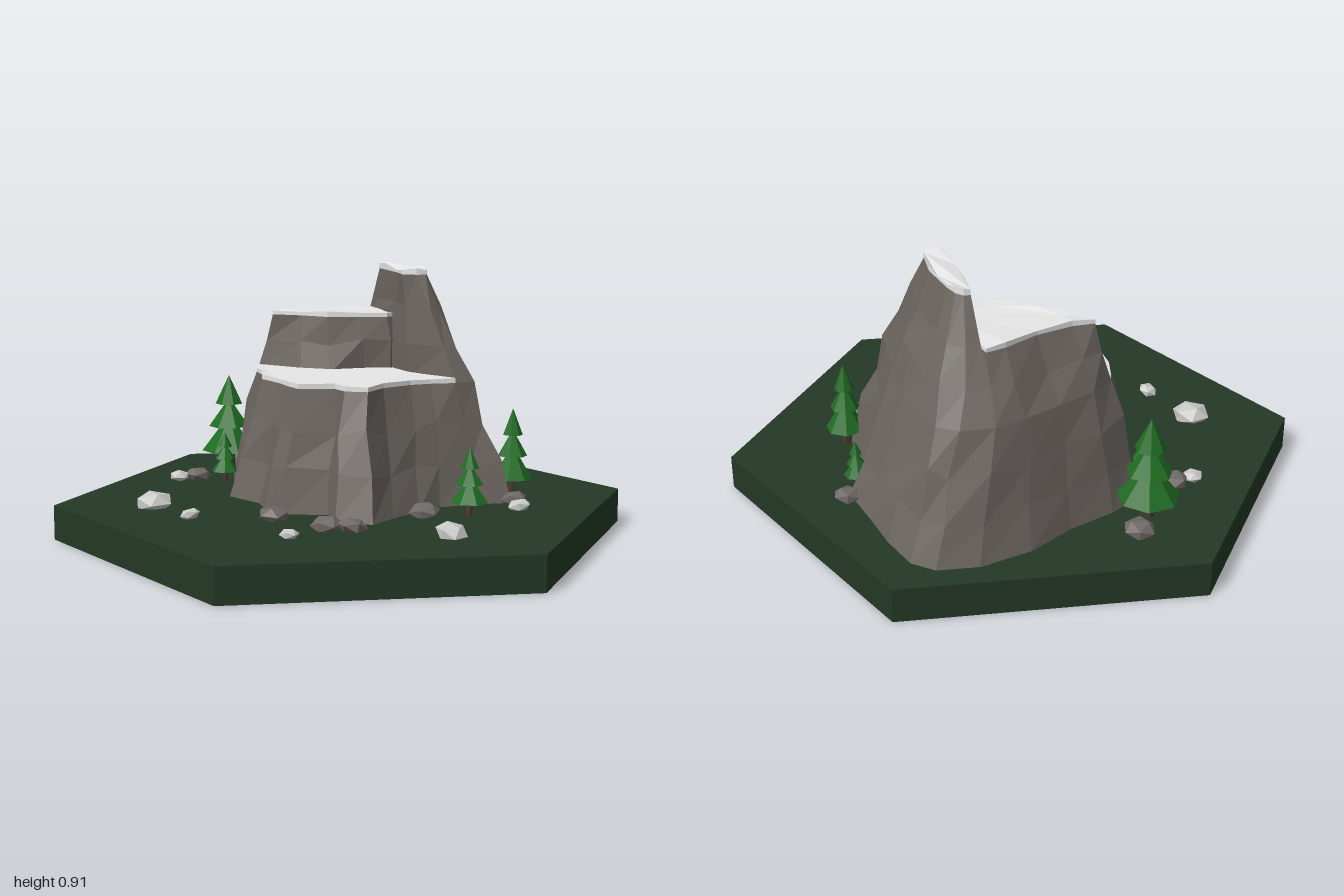
import * as THREE from 'three';

const mat = (name, color, flatShading = true) => {
  const m = new THREE.MeshStandardMaterial({ color, flatShading });
  m.name = name;
  return m;
};

export function createModel() {
  const model = new THREE.Group();
  model.name = 'mountainTile';
  const grass = mat('darkGrass', 0x243826);
  const stone = mat('mountainStone', 0x6b645f);
  const snow = mat('snow', 0xf2f2f2);
  const needles = mat('needles', 0x1f6b22);
  const bark = mat('bark', 0x4a3a2c);
  const boulder = mat('boulder', 0x6f6966);
  const paleStone = mat('paleStone', 0xcacac8);

  let seed = 7;
  const rand = () => (seed = (seed * 16807) % 2147483647) / 2147483647;

  const add = (parent, name, geo, material, x = 0, y = 0, z = 0) => {
    const m = new THREE.Mesh(geo, material);
    m.name = name;
    m.position.set(x, y, z);
    parent.add(m);
    return m;
  };

  // Wall between two outlines of [x, z] points, with rough rings in between
  const cliff = (name, low, high, y0, y1, steps) => {
    const n = low.length, pos = [], idx = [];
    for (let s = 0; s <= steps; s++) {
      const t = s / steps, inner = s > 0 && s < steps;
      for (let i = 0; i < n; i++) {
        const j = () => (inner ? (rand() - 0.5) * 0.022 : 0);
        pos.push(
          THREE.MathUtils.lerp(low[i][0], high[i][0], t) + j(),
          THREE.MathUtils.lerp(y0, y1, t) + j() * 2,
          THREE.MathUtils.lerp(low[i][1], high[i][1], t) + j());
      }
    }
    for (let s = 0; s < steps; s++) for (let i = 0; i < n; i++) {
      const a = s * n + i, b = s * n + (i + 1) % n;
      idx.push(a, b, b + n, a, b + n, a + n);
    }
    const geo = new THREE.BufferGeometry();
    geo.setAttribute('position', new THREE.Float32BufferAttribute(pos, 3));
    geo.setIndex(idx);
    geo.computeVertexNormals();
    add(model, name, geo, stone);
  };

  // Thin snow sheet over an outline, with a slightly uneven top
  const snowSheet = (name, outline, y, wave) => {
    const shape = new THREE.Shape(outline.map(([x, z]) => new THREE.Vector2(x, -z)));
    const geo = new THREE.ExtrudeGeometry(shape, { depth: 0.016, bevelEnabled: false });
    geo.rotateX(-Math.PI / 2);
    const p = geo.attributes.position;
    for (let i = 0; i < p.count; i++) {
      if (p.getY(i) > 0.01) p.setY(i, p.getY(i) + wave * Math.sin(p.getX(i) * 23 + p.getZ(i) * 31));
    }
    geo.computeVertexNormals();
    add(model, name, geo, snow, 0, y, 0);
  };

  // Hexagonal ground tile
  add(model, 'ground', new THREE.CylinderGeometry(1, 1, 0.12, 6), grass, 0, 0.06, 0);

  // Lower mountain: foot x, foot z, rim x, rim z
  const lower = [
    [-.32, .09, -.23, .05], [-.21, .19, -.13, .12], [-.25, .28, -.14, .19], [-.18, .39, -.09, .25],
    [-.07, .36, .01, .21], [.06, .34, .13, .21], [.16, .33, .2, .23], [.28, .37, .28, .27],
    [.4, .43, .36, .28], [.47, .34, .4, .2], [.55, .14, .46, .08], [.67, .04, .52, 0],
    [.7, -.13, .56, -.13], [.73, -.28, .58, -.26], [.74, -.42, .59, -.36], [.7, -.5, .55, -.43],
    [.58, -.57, .45, -.48], [.4, -.6, .34, -.49], [.22, -.58, .2, -.49], [.05, -.59, .06, -.49],
    [-.08, -.57, -.04, -.46], [-.15, -.46, -.1, -.38], [-.21, -.33, -.13, -.3],
    [-.31, -.25, -.19, -.22], [-.29, -.1, -.2, -.1], [-.33, 0, -.22, -.02],
  ];
  const foot = lower.map(p => [p[0], p[1]]);
  const rim = lower.map(p => [p[2], p[3]]);
  cliff('lowerCliff', foot, rim, 0.12, 0.53, 3);
  snowSheet('lowerSnow', [...rim.slice(20), ...rim.slice(0, 8), [.32, 0], [.28, -.16], [.16, -.3]], 0.53, 0.002);

  // Middle step at the back
  const midTop = [[0, -.42], [.06, -.32], [.1, -.22], [.19, -.15], [.27, -.09], [.36, -.1],
    [.4, -.37], [.33, -.38], [.2, -.37], [.07, -.39]];
  cliff('middleCliff', [[-.04, -.46], [.02, -.28], [.08, -.18], [.2, -.13], [.27, -.07], [.38, -.09],
    [.45, -.48], [.34, -.49], [.2, -.49], [.06, -.49]], midTop, 0.53, 0.73, 2);
  snowSheet('middleSnow', midTop, 0.73, 0.004);

  // Tall ridge on the side
  const ridgeTop = [[.28, .06], [.31, .075], [.335, .05], [.36, 0], [.385, -.05], [.4, -.12], [.415, -.19],
    [.42, -.24], [.41, -.27], [.39, -.28], [.36, -.21], [.3, -.07], [.255, .01]];
  cliff('ridgeCliff', [rim[7], ...rim.slice(8, 17), [.36, -.38], [.29, -.1], [.255, .05]],
    ridgeTop, 0.53, 0.89, 3);
  snowSheet('ridgeSnow', ridgeTop, 0.89, 0.008);

  // Pine trees: x, z, height, radius
  for (const [x, z, h, r] of [[.16, .48, .23, .065], [.49, .34, .31, .07], [.61, .09, .16, .042],
    [-.03, -.67, .36, .105], [-.17, -.49, .18, .05]]) {
    const tree = new THREE.Group();
    tree.name = 'pineTree';
    tree.position.set(x, 0.12, z);
    tree.rotation.y = x * 9;
    add(tree, 'trunk', new THREE.CylinderGeometry(r * .17, r * .2, h * .3, 6), bark, 0, h * .15, 0);
    [[.2, .38, 1], [.46, .3, .74], [.7, .3, .5]].forEach(([y, t, w]) =>
      add(tree, 'branches', new THREE.ConeGeometry(r * w, h * t, 7), needles, 0, h * (y + t / 2), 0));
    model.add(tree);
  }

  // Scattered squashed rocks: x, z, radius
  const scatter = (name, material, list) => list.forEach(([x, z, r]) => {
    const rock = add(model, name, new THREE.IcosahedronGeometry(r, 0), material, x, 0.135, z);
    rock.scale.y = 0.55;
    rock.rotation.set((rand() - .5) * .5, rand() * 6, (rand() - .5) * .5);
  });
  scatter('boulder', boulder, [[.06, -.73, .055], [-.23, -.58, .052], [-.39, .13, .055], [-.33, .34, .055],
    [-.28, .41, .052], [.04, .39, .055], [.41, .43, .048], [.69, .02, .05]]);
  scatter('paleRock', paleStone, [[-.6, -.28, .07], [-.6, -.05, .036], [-.3, -.6, .038],
    [-.5, .37, .033], [-.08, .66, .054], [.35, .52, .042]]);

  return model;
}
